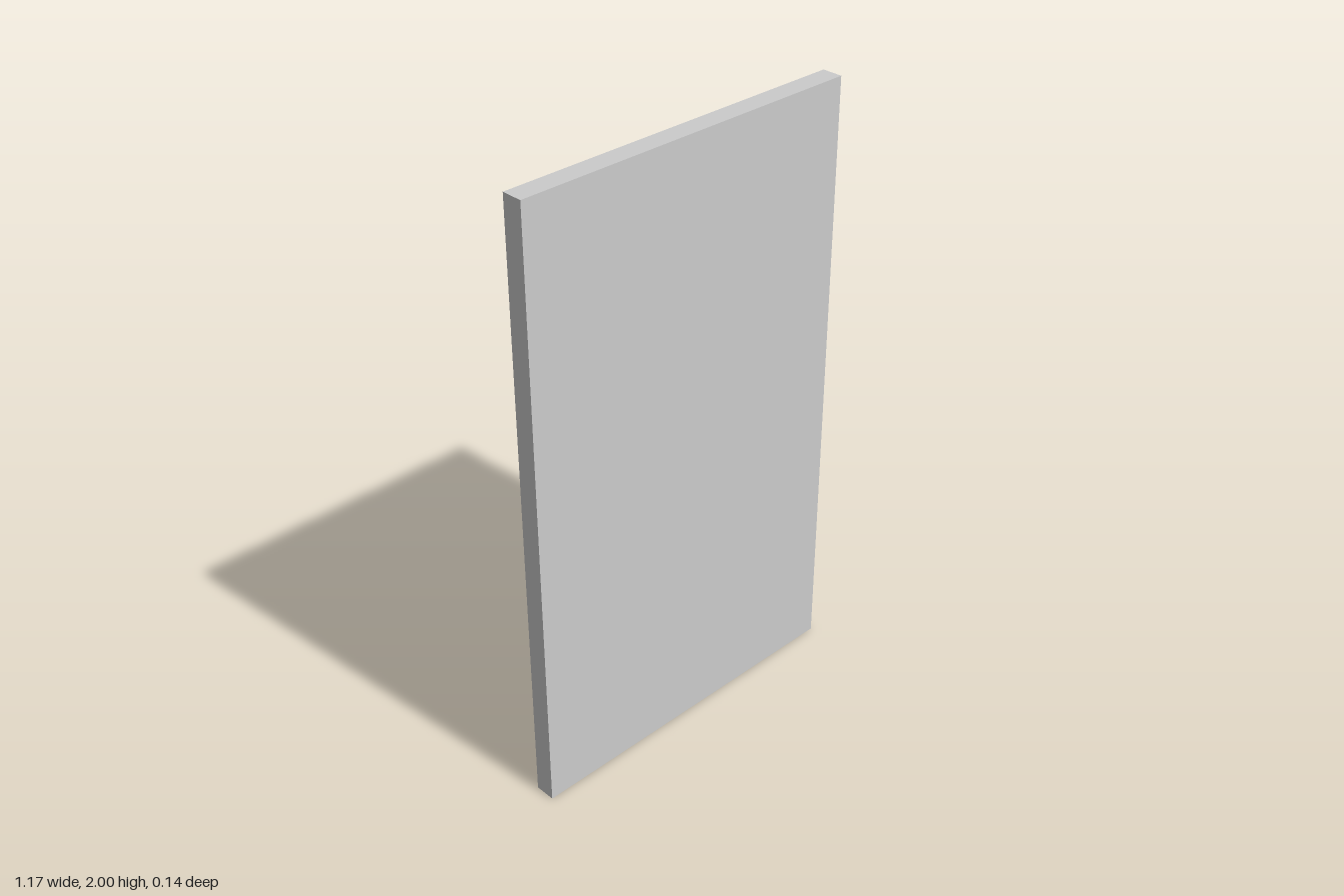
import * as THREE from 'three';

const FRONT = 0.067, BACK = -0.068, FLOOR = -0.005;
// Half width, half height
const OUTER = [0.587, 1], RIM = [0.491, 0.876], RECESS = [0.452, 0.84];
const CORNERS = [[1, 1], [-1, 1], [-1, -1], [1, -1]];

// Joins successive rectangular rings [half width, half height, z] with flat, mitred faces
function loftRectangles(rings) {
  const positions = [];
  const corner = ([w, h, z], i) => {
    const [sx, sy] = CORNERS[i % 4];
    return [sx * w, sy * h, z];
  };
  for (let r = 0; r < rings.length - 1; r++) {
    for (let i = 0; i < 4; i++) {
      const a0 = corner(rings[r], i), a1 = corner(rings[r], i + 1);
      const b0 = corner(rings[r + 1], i), b1 = corner(rings[r + 1], i + 1);
      positions.push(...a0, ...b1, ...a1, ...a0, ...b0, ...b1);
    }
  }
  const geometry = new THREE.BufferGeometry();
  geometry.setAttribute('position', new THREE.Float32BufferAttribute(positions, 3));
  geometry.computeVertexNormals();
  return geometry;
}

export function createModel() {
  const group = new THREE.Group();
  group.name = 'framedPanel';
  const material = new THREE.MeshStandardMaterial({ color: 0xcccccc, flatShading: true });

  const add = (name, geometry, z = 0) => {
    const mesh = new THREE.Mesh(geometry, material);
    mesh.name = name;
    mesh.position.set(0, 1, z);
    group.add(mesh);
    return mesh;
  };

  // Frame: straight outer sides, bevel up to a sharp rim, then slopes down into the recess
  add('frame', loftRectangles([
    [...OUTER, FRONT],
    [...OUTER, 0],
    [...RIM, BACK],
    [...RECESS, FLOOR],
  ]));

  // Plain front face
  add('frontPanel', new THREE.PlaneGeometry(OUTER[0] * 2, OUTER[1] * 2), FRONT);

  // Floor of the recess, facing the back
  add('recessPanel', new THREE.PlaneGeometry(RECESS[0] * 2, RECESS[1] * 2), FLOOR).rotation.y = Math.PI;

  return group;
}
